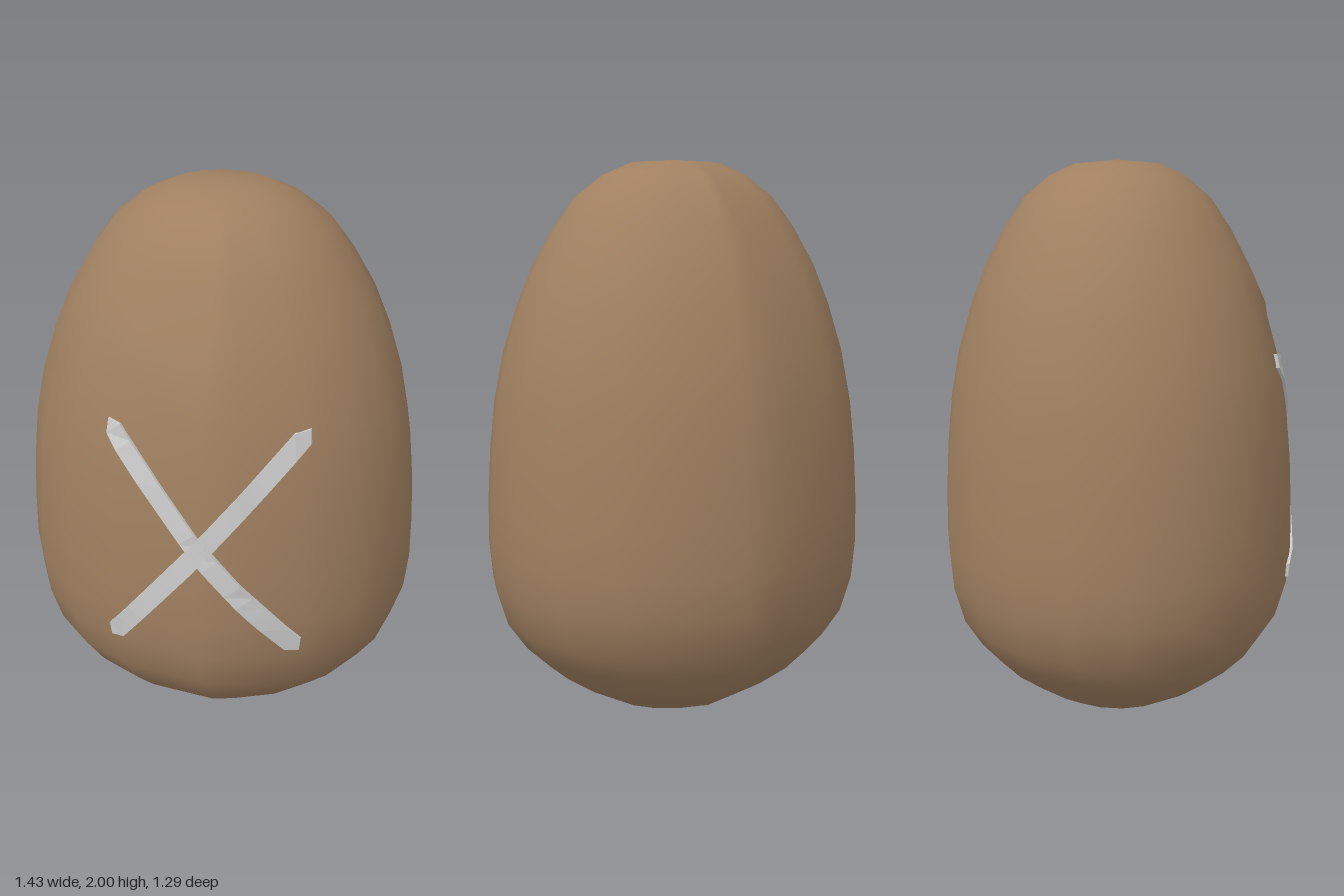
import * as THREE from 'three';
import { mergeVertices } from 'three/addons/utils/BufferGeometryUtils.js';

const brown = new THREE.MeshStandardMaterial({ color: 0xa08060 });
brown.name = 'brown shell';
const grey = new THREE.MeshStandardMaterial({ color: 0xcccccc, side: THREE.DoubleSide });
grey.name = 'pale grey';

// Egg: a 20-sided lathe, flattened in z, with its front and back ridges pushed towards +x
function makeEgg() {
  const profile = [
    [0, 0], [0.17, 0.012], [0.28, 0.05], [0.39, 0.11], [0.5, 0.185], [0.59, 0.27], [0.66, 0.37],
    [0.7, 0.5], [0.713, 0.64], [0.71, 0.8], [0.7, 0.97], [0.68, 1.15], [0.645, 1.32], [0.59, 1.49],
    [0.53, 1.63], [0.45, 1.765], [0.37, 1.87], [0.27, 1.945], [0.17, 1.987], [0, 2],
  ].map(([r, y]) => new THREE.Vector2(r, y));
  let geo = new THREE.LatheGeometry(profile, 20);
  geo.scale(1, 1, 0.9);
  const p = geo.attributes.position;
  for (let i = 0; i < p.count; i++) {
    if (Math.abs(p.getX(i)) > 1e-4) continue;
    p.setX(i, Math.min(0.08, Math.abs(p.getZ(i)) * 0.25));
    // slight kink high on the front ridge
    if (p.getZ(i) > 0 && Math.abs(p.getY(i) - 1.49) < 0.01) p.setZ(i, 0.55);
    if (p.getZ(i) > 0 && Math.abs(p.getY(i) - 1.63) < 0.01) p.setZ(i, 0.462);
  }
  geo.deleteAttribute('uv');
  geo.deleteAttribute('normal');
  geo = mergeVertices(geo, 1e-5);
  geo.computeVertexNormals();
  const egg = new THREE.Mesh(geo, brown);
  egg.name = 'eggShell';
  return egg;
}

// Bar with pointed ends, laid on the egg's front and standing slightly proud of it
function makeBar(egg, from, to, name) {
  const ray = new THREE.Raycaster();
  const surfaceZ = (x, y) => {
    ray.set(new THREE.Vector3(x, y, 3), new THREE.Vector3(0, 0, -1));
    return ray.intersectObject(egg)[0].point.z;
  };
  const dir = to.clone().sub(from);
  const length = dir.length();
  dir.normalize();
  const side = new THREE.Vector2(-dir.y, dir.x);
  const half = 0.033, tip = 0.034, steps = 16;
  const stations = [0];
  for (let i = 0; i <= steps; i++) stations.push(tip + (length - 2 * tip) * i / steps);
  stations.push(length);

  const pos = [], index = [];
  stations.forEach((s, i) => {
    const w = i === 0 || i === stations.length - 1 ? 0 : half;
    const c = from.clone().addScaledVector(dir, s);
    // cross-section: buried left, raised left, raised right, buried right
    for (const [k, lift] of [[1, -0.01], [1, 0.012], [-1, 0.012], [-1, -0.01]]) {
      const x = c.x + side.x * w * k, y = c.y + side.y * w * k;
      pos.push(x, y, surfaceZ(x, y) + lift);
    }
    if (i === 0) return;
    for (let j = 0; j < 3; j++) {
      const a = (i - 1) * 4 + j, b = i * 4 + j;
      index.push(a, a + 1, b, b, a + 1, b + 1);
    }
  });
  let geo = new THREE.BufferGeometry();
  geo.setAttribute('position', new THREE.Float32BufferAttribute(pos, 3));
  geo.setIndex(index);
  geo = geo.toNonIndexed();
  geo.computeVertexNormals();
  const bar = new THREE.Mesh(geo, grey);
  bar.name = name;
  return bar;
}

export function createModel() {
  const group = new THREE.Group();
  group.name = 'markedEgg';
  const egg = makeEgg();
  egg.updateMatrixWorld();
  group.add(egg);
  // Crossed bars
  const v = (x, y) => new THREE.Vector2(x, y);
  group.add(makeBar(egg, v(-0.24, 1.34), v(0.41, 0.53), 'fallingBar'));
  group.add(makeBar(egg, v(-0.24, 0.53), v(0.41, 1.34), 'risingBar'));
  return group;
}
